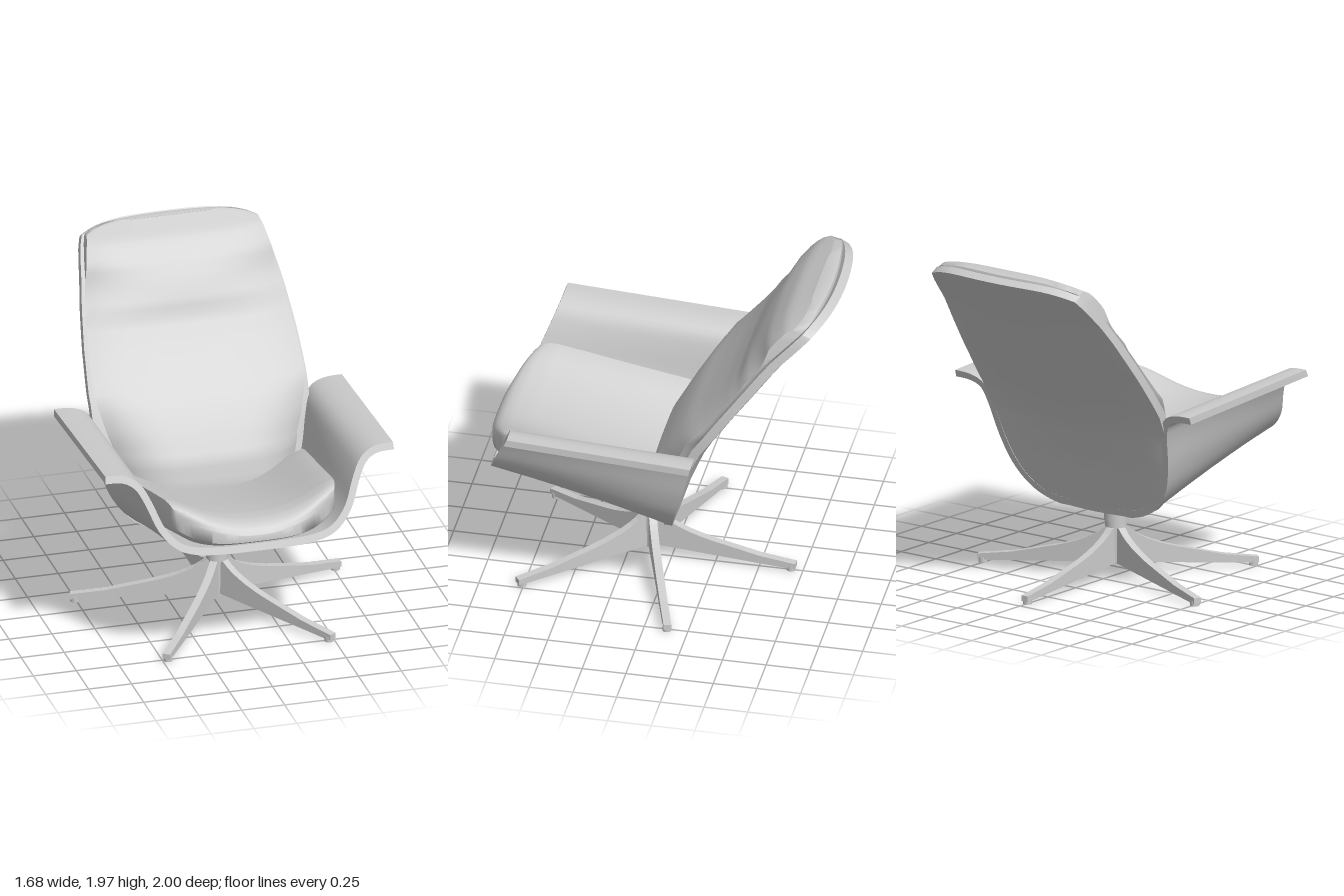
import * as THREE from 'three';
import { toCreasedNormals } from 'three/addons/utils/BufferGeometryUtils.js';

// piecewise linear lookup in [[t, value], ...]
function lookup(pts, t) {
  if (t <= pts[0][0]) return pts[0][1];
  for (let i = 1; i < pts.length; i++) {
    const [a, va] = pts[i - 1], [b, vb] = pts[i];
    if (t <= b) return va + (vb - va) * (t - a) / (b - a);
  }
  return pts[pts.length - 1][1];
}

// closed slab between two surfaces f(u, v) -> [x, y, z], with a rim around it
function slab(nu, nv, front, back, crease) {
  const pos = [], idx = [], row = nu + 1, n = row * (nv + 1);
  for (const f of [front, back])
    for (let j = 0; j <= nv; j++)
      for (let i = 0; i <= nu; i++) pos.push(...f(i / nu * 2 - 1, j / nv));
  for (let j = 0; j < nv; j++)
    for (let i = 0; i < nu; i++) {
      const a = j * row + i, b = a + 1, c = a + row, d = c + 1;
      idx.push(a, b, d, a, d, c, n + a, n + d, n + b, n + a, n + c, n + d);
    }
  const rim = (a, b) => idx.push(a, n + a, n + b, a, n + b, b);
  for (let i = 0; i < nu; i++) {
    rim(i, i + 1);
    rim(nv * row + i + 1, nv * row + i);
  }
  for (let j = 0; j < nv; j++) {
    rim((j + 1) * row, j * row);
    rim(j * row + nu, (j + 1) * row + nu);
  }
  const g = new THREE.BufferGeometry();
  g.setAttribute('position', new THREE.Float32BufferAttribute(pos, 3));
  g.setIndex(idx);
  return toCreasedNormals(g, crease);
}

const mirrored = (half) => new THREE.SplineCurve([
  ...half.map(([x, y]) => new THREE.Vector2(-x, y)),
  ...half.slice(0, -1).reverse().map(([x, y]) => new THREE.Vector2(x, y)),
]);

// backrest outline and centre line, by height
const BACK_WIDTH = [[0.41, 0.25], [0.43, 0.33], [0.5, 0.45], [0.62, 0.545], [0.8, 0.602], [1, 0.63], [1.2, 0.632],
  [1.4, 0.617], [1.6, 0.59], [1.8, 0.55], [1.87, 0.533], [1.92, 0.513], [1.97, 0.475]];
const BACK_Z = [[0.41, -0.07], [0.7, -0.165], [0.95, -0.28], [1.1, -0.38], [1.3, -0.52], [1.6, -0.74], [1.93, -1]];
const BACK_BOW = [[0.41, 0], [0.7, 0.015], [0.9, 0.05], [1.1, 0.09], [1.7, 0.09], [1.93, 0.05]];
const CUSHION_Z = [[0.6, 0.085], [0.72, 0.075], [0.85, 0.04], [1, -0.05], [1.13, -0.14], [1.25, -0.25], [1.4, -0.375],
  [1.54, -0.475], [1.58, -0.48], [1.7, -0.55], [1.8, -0.62], [1.9, -0.72], [1.965, -0.85]];
const ease = (v) => 0.5 - 0.5 * Math.cos(Math.PI * v);
// rounds off the two top corners
const cornerDrop = (u, v) => 0.045 * u ** 6 * ease(v) ** 8;

// U-shaped shell with flared armrests, lofted front to back
function armShell() {
  const f = mirrored([[0.84, 1.15], [0.74, 1.143], [0.67, 1.1], [0.62, 1.01], [0.56, 0.87], [0.47, 0.77], [0.36, 0.727], [0.2, 0.712], [0, 0.71]]);
  const b = mirrored([[0.84, 1.09], [0.74, 1.085], [0.67, 1.05], [0.637, 0.95], [0.605, 0.78], [0.55, 0.62], [0.45, 0.495], [0.3, 0.425], [0, 0.405]]);
  const at = (off) => (u, v) => {
    const t = (u + 1) / 2;
    const [p, q] = [f, b].map((c) => {
      const g = c.getTangent(t);
      return c.getPoint(t).add(new THREE.Vector2(-g.y, g.x).multiplyScalar(off));
    });
    const zf = 0.77 + (1.19 - p.y) * 0.396, zb = -0.28 + (1.13 - q.y) * 0.29;
    return [p.x + (q.x - p.x) * v, p.y + (q.y - p.y) * v, zf + (zb - zf) * v];
  };
  return slab(64, 8, at(0.04), at(0), 0.6);
}

// thin curved panel behind the cushion
function backShell() {
  const at = (dy, dz) => (u, v) => {
    const y = 0.41 + 1.515 * ease(v) - cornerDrop(u, v);
    const k = Math.min(1, (y - 0.41) / 0.6);
    return [lookup(BACK_WIDTH, y + 0.045 * v) * u, y + dy * k,
      lookup(BACK_Z, y) + lookup(BACK_BOW, y) * u * u + dz];
  };
  return slab(24, 36, at(0.025, 0.045), at(0, 0), 0.6);
}

// padded back with a raised head pillow
function backCushion() {
  const width = (y) => lookup(BACK_WIDTH, y) * lookup([[0.9, 0.86], [1.2, 0.975]], y);
  const front = (u, v) => {
    const y = 0.62 + 1.348 * ease(v) - cornerDrop(u, v);
    const pillow = 0.045 * Math.exp(-(((y - 1.68) / 0.1) ** 2)) * u * u;
    const low = lookup([[0.8, 0.15], [1.2, 0.04]], y);
    return [width(y) * u, y, lookup(CUSHION_Z, y) - low * Math.abs(u) ** 4 - pillow];
  };
  const back = (u, v) => {
    const y = 0.62 + 1.335 * ease(v) - cornerDrop(u, v);
    const edge = Math.max(u ** 6, ease(v) ** 12);
    return [width(y) * u * 0.985, y, lookup(BACK_Z, y) + lookup(BACK_BOW, y) * u * u + 0.04 + 0.035 * edge];
  };
  return slab(28, 44, front, back, 0.9);
}

// seat pad with raised sides and a rolled, rounded front edge
function seatCushion() {
  const W = [[-0.03, 0.54], [0.02, 0.54], [0.5, 0.51], [0.85, 0.49], [0.93, 0.475], [0.97, 0.455], [1, 0.42]];
  const T = [[-0.03, 0.66], [0, 0.67], [0.3, 0.75], [0.6, 0.83], [0.8, 0.875], [0.9, 0.885], [0.95, 0.875], [0.98, 0.855], [1, 0.825]];
  const at = (height) => (u, v) => {
    const row = -0.03 + 1.03 * Math.cos(v * Math.PI / 2), x = lookup(W, row) * u;
    const z = row - 0.1 * Math.abs(u) ** 2.5 * Math.max(0, (row - 0.4) / 0.6) ** 2;
    return [x, height(row, Math.abs(x / 0.5), u, z), z];
  };
  const top = at((row, s, u) => lookup(T, row) + 0.17 * s ** 2.2 - 0.04 * u ** 8);
  const bottom = at((row, s, u, z) =>
    0.752 + 0.29 * (z - 0.96) + lookup([[0.9, 0], [1, 0.025]], row) + 0.17 * s ** 4);
  return slab(28, 30, top, bottom, 0.9);
}

// one tapering star-base leg running along +x
function legGeometry() {
  const s = new THREE.Shape();
  s.moveTo(0, 0.08);
  s.lineTo(0.78, 0.018);
  s.lineTo(0.825, 0.018);
  s.lineTo(0.825, 0.05);
  s.lineTo(0.62, 0.08);
  s.lineTo(0.35, 0.145);
  s.quadraticCurveTo(0.14, 0.2, 0.06, 0.28);
  s.lineTo(0, 0.3);
  const g = new THREE.ExtrudeGeometry(s, { depth: 0.044, bevelEnabled: false, curveSegments: 6 });
  return g.translate(0, 0, -0.022);
}

export function createModel() {
  const chair = new THREE.Group();
  chair.name = 'loungeChair';
  const grey = new THREE.MeshStandardMaterial({ color: 0xcccccc });
  grey.name = 'light grey';
  const add = (name, geometry, parent = chair) => {
    const m = new THREE.Mesh(geometry, grey);
    m.name = name;
    parent.add(m);
    return m;
  };

  add('armShell', armShell());
  add('backShell', backShell());
  add('backCushion', backCushion());
  add('seatCushion', seatCushion());

  // swivel base
  const base = new THREE.Group();
  base.name = 'base';
  base.position.z = 0.115;
  chair.add(base);
  add('hub', new THREE.CylinderGeometry(0.05, 0.045, 0.24, 20).translate(0, 0.19, 0), base);
  add('collar', new THREE.CylinderGeometry(0.062, 0.062, 0.04, 24).translate(0, 0.305, 0), base);
  add('column', new THREE.CylinderGeometry(0.07, 0.07, 0.075, 24).translate(0, 0.358, 0), base);
  add('neck', new THREE.CylinderGeometry(0.075, 0.045, 0.07, 24).translate(0, 0.42, 0), base);
  const plate = add('mountingPlate', new THREE.CylinderGeometry(0.12, 0.1, 0.025, 28), base);
  plate.position.y = 0.46;
  plate.rotation.x = -0.28;

  const leg = legGeometry();
  const foot = new THREE.CylinderGeometry(0.026, 0.026, 0.03, 12).translate(0.797, 0.015, 0);
  for (let i = 0; i < 5; i++) {
    const arm = new THREE.Group();
    arm.name = 'leg' + (i + 1);
    arm.rotation.y = Math.PI / 2 + i * Math.PI * 0.4;
    base.add(arm);
    add('legBlade', leg, arm);
    add('foot', foot, arm);
  }
  return chair;
}
